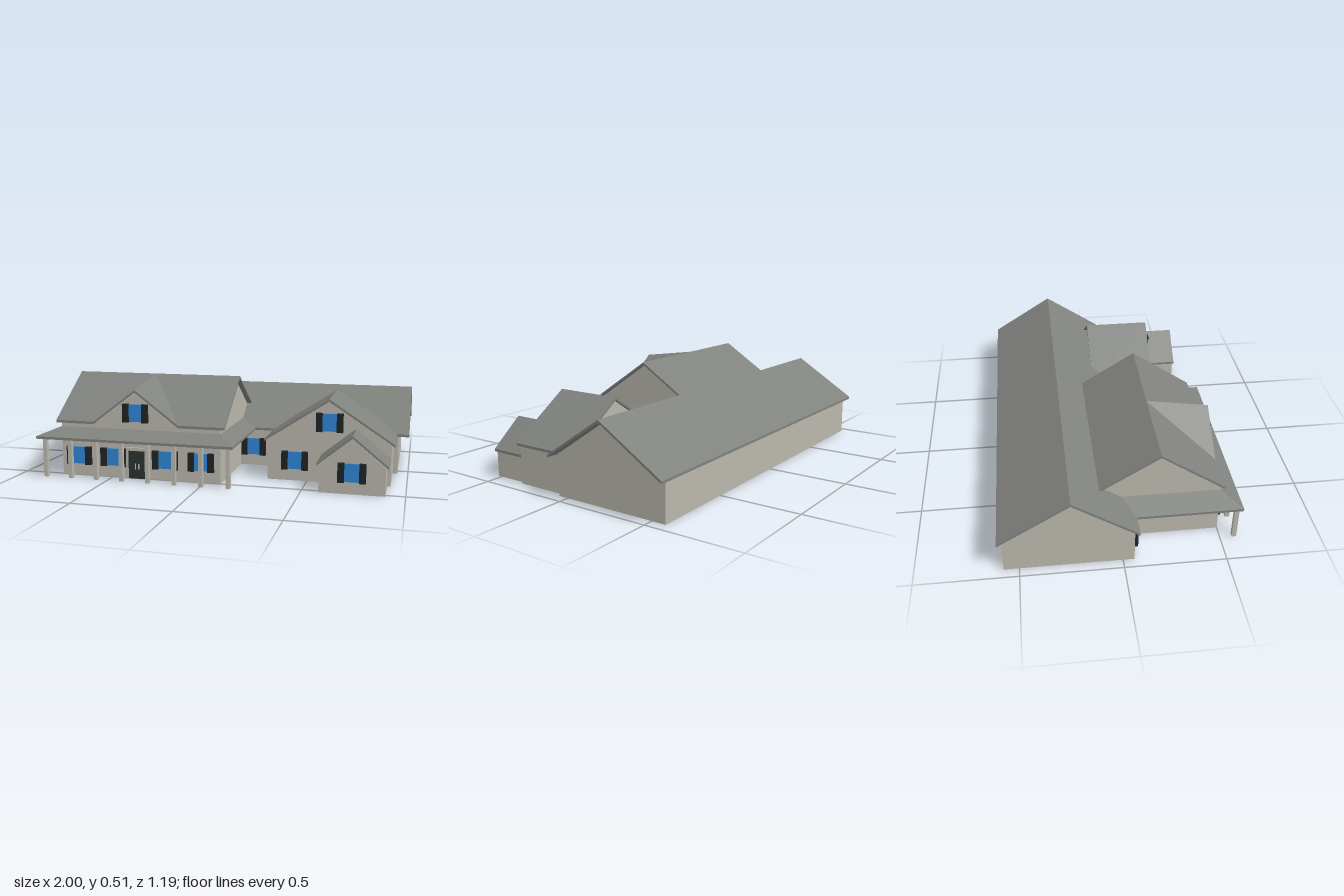
import * as THREE from 'three';

const paint = (name, color) => {
  const m = new THREE.MeshStandardMaterial({ color });
  m.name = name;
  return m;
};

export function createModel() {
  const wallMat = paint('cream wall', 0xbab8ac);
  const roofMat = paint('grey roof', 0x80827e);
  const shutterMat = paint('dark shutter', 0x1f2423);
  const glassMat = paint('blue glass', 0x2f86d6);
  const doorMat = paint('dark green door', 0x2b3430);
  const house = new THREE.Group();
  house.name = 'house';

  const add = (parent, name, geo, mat, x = 0, y = 0, z = 0) => {
    const m = new THREE.Mesh(geo, mat);
    m.name = name;
    m.position.set(x, y, z);
    parent.add(m);
    return m;
  };
  const box = (parent, name, w, h, d, mat, x, y, z) =>
    add(parent, name, new THREE.BoxGeometry(w, h, d), mat, x, y, z);

  // Extrudes a profile of [across, height] pairs along x or z
  const prism = (name, profile, axis, from, to) => {
    const pts = profile.map(([u, y]) => new THREE.Vector2(axis === 'x' ? -u : u, y));
    const geo = new THREE.ExtrudeGeometry(new THREE.Shape(pts), { depth: to - from, bevelEnabled: false });
    geo.translate(0, 0, from);
    if (axis === 'x') geo.rotateY(Math.PI / 2);
    return add(house, name, geo, wallMat);
  };

  // Roof panel: convex polygon, given in either direction, thickened downwards
  const slab = (name, points, t = 0.013) => {
    const top = points.map((p) => new THREE.Vector3(...p));
    const n = new THREE.Vector3().crossVectors(
      top[1].clone().sub(top[0]), top[2].clone().sub(top[0]));
    if (n.y < 0) top.reverse();
    const low = top.map((p) => p.clone().setY(p.y - t));
    const tris = [];
    for (let i = 1; i < top.length - 1; i++) {
      tris.push(top[0], top[i], top[i + 1], low[0], low[i + 1], low[i]);
    }
    top.forEach((p, i) => {
      const j = (i + 1) % top.length;
      tris.push(p, low[i], low[j], p, low[j], top[j]);
    });
    const geo = new THREE.BufferGeometry().setFromPoints(tris);
    geo.computeVertexNormals();
    return add(house, name, geo, roofMat);
  };

  // Main long block
  prism('mainWalls', [[-0.575, 0], [0.055, 0], [0.055, 0.21], [-0.25, 0.416], [-0.575, 0.21]], 'x', -0.95, 0.945);
  for (const [z, side] of [[0.071, 'Front'], [-0.595, 'Back']]) {
    slab('mainRoof' + side, [[-1, 0.216, z], [1, 0.216, z], [1, 0.431, -0.25], [-1, 0.431, -0.25]]);
  }

  // Front wing with the ridge along x
  const cx = -0.35;
  prism('wingWalls', [[-0.1, 0], [0.5, 0], [0.5, 0.286], [0.19, 0.501], [-0.1, 0.318]], 'x', cx - 0.435, cx + 0.435);
  slab('wingRoofBack', [[-0.81, 0.515, 0.19], [0.11, 0.515, 0.19], [0.11, 0.33, -0.105], [-0.81, 0.33, -0.105]]);

  // Wing front slope, broken by a dormer with a rising ridge
  const dx = -0.365;
  const back = [dx, 0.515, 0.19];
  for (const [edge, s] of [[-0.81, -1], [0.11, 1]]) {
    const foot = [dx + s * 0.232, 0.292, 0.513];
    slab('wingRoofFront', [[edge, 0.292, 0.513], foot, back, [edge, 0.515, 0.19]]);
    slab('dormerRoof', [foot, [dx, 0.466, 0.513], back]);
  }
  prism('dormerWall', [[dx - 0.225, 0.27], [dx + 0.225, 0.27], [dx + 0.225, 0.284], [dx, 0.453], [dx - 0.225, 0.284]], 'z', 0.46, 0.5);

  // Porch roof around three sides of the wing
  const ox = 0.53, ix = 0.43, oy = 0.215, iy = 0.26, oz = 0.592, iz = 0.495;
  slab('porchRoofFront', [[cx - ox - 0.01, oy, oz], [cx + ox - 0.01, oy, oz], [cx + ix, iy, iz], [cx - ix, iy, iz]]);
  for (const s of [-1, 1]) {
    slab('porchRoofSide', [[cx + s * ox - 0.01, oy, oz], [cx + s * ix, iy, iz], [cx + s * ix, iy, -0.01], [cx + s * ox - 0.01, oy, 0.06]]);
  }
  for (let i = 0; i < 8; i++) {
    box(house, 'porchPost', 0.021, 0.208, 0.023, wallMat, -0.845 + i * 0.1414, 0.104, 0.572);
  }

  // Garage wing with the ridge along z, and its small front bay
  const gabled = (name, x, wall, roof, wallTop, ridge, eave, wz, rz) => {
    prism(name + 'Walls', [[x - wall, 0], [x + wall, 0], [x + wall, wallTop], [x, ridge - 0.015], [x - wall, wallTop]], 'z', ...wz);
    for (const s of [-1, 1]) {
      slab(name + 'Roof', [[x, ridge, rz[0]], [x, ridge, rz[1]], [x + s * roof, eave, rz[1]], [x + s * roof, eave, rz[0]]]);
    }
  };
  gabled('garage', 0.607, 0.314, 0.331, 0.209, 0.431, 0.214, [-0.01, 0.334], [-0.025, 0.341]);
  gabled('bay', 0.745, 0.16, 0.171, 0.138, 0.287, 0.147, [0.3, 0.524], [0.3, 0.531]);

  // Windows with a pair of shutters
  const windowAt = (x, y, z) => {
    const g = new THREE.Group();
    g.name = 'window';
    g.position.set(x, y, z);
    box(g, 'glass', 0.074, 0.09, 0.008, glassMat, 0, 0, 0.004);
    for (const s of [-1, 1]) box(g, 'shutter', 0.032, 0.096, 0.02, shutterMat, s * 0.052, 0, 0.01);
    house.add(g);
  };
  for (const s of [-1, 1]) {
    windowAt(cx + s * 0.143, 0.107, 0.5);
    windowAt(cx + s * 0.335, 0.107, 0.5);
    windowAt(cx + s * 0.508, 0.107, 0.055);
  }
  windowAt(dx, 0.345, 0.5);
  windowAt(0.437, 0.107, 0.334);
  windowAt(0.612, 0.312, 0.334);
  windowAt(0.745, 0.107, 0.524);

  // Double front door with handles and a lintel
  box(house, 'door', 0.096, 0.146, 0.008, doorMat, -0.36, 0.073, 0.504);
  box(house, 'doorLintel', 0.12, 0.016, 0.012, wallMat, -0.36, 0.156, 0.506);
  for (const s of [-1, 1]) {
    box(house, 'doorHandle', 0.004, 0.03, 0.008, wallMat, -0.36 + s * 0.009, 0.066, 0.511);
  }
  return house;
}
